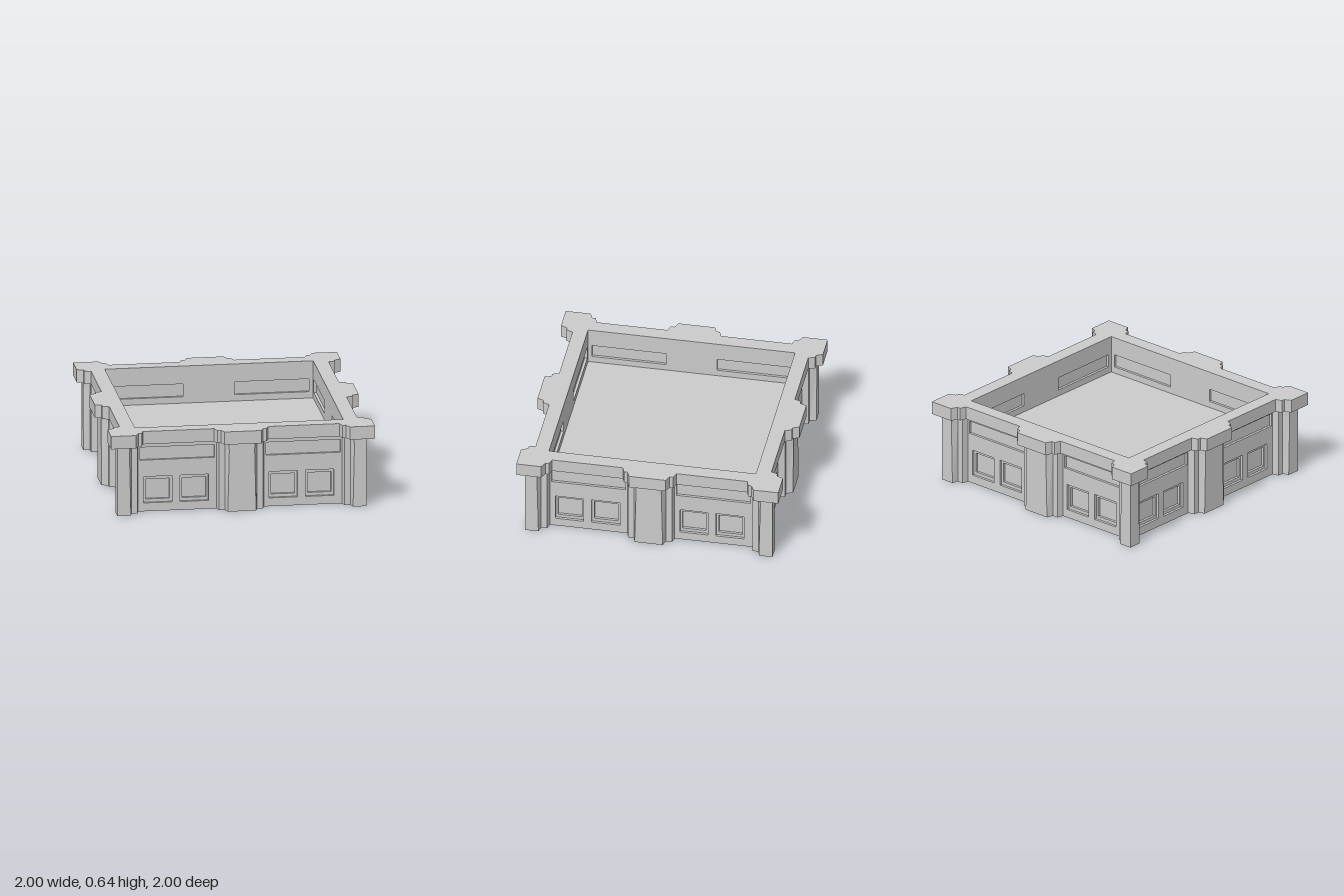
import * as THREE from 'three';

const material = new THREE.MeshStandardMaterial({
  color: 0xcccccc, flatShading: true, side: THREE.DoubleSide,
});

function addMesh(parent, name, geometry) {
  const mesh = new THREE.Mesh(geometry, material);
  mesh.name = name;
  parent.add(mesh);
  return mesh;
}

// Rectangles are [x0, y0, x1, y1]
const corners = ([x0, y0, x1, y1]) =>
  [[x0, y0], [x1, y0], [x1, y1], [x0, y1]].map(([x, y]) => new THREE.Vector2(x, y));

// Flat plate facing +z between two depths, with rectangular openings
function plate(rect, back, front, holes = []) {
  const shape = new THREE.Shape(corners(rect));
  for (const h of holes) shape.holes.push(new THREE.Path(corners(h)));
  return new THREE.ExtrudeGeometry(shape, { depth: front - back, bevelEnabled: false })
    .translate(0, 0, back);
}

const inset = ([x0, y0, x1, y1], dx, dy) => [x0 + dx, y0 + dy, x1 - dx, y1 - dy];

// Open vertical shell through horizontal paths of [x, z] at several heights
function shell(rows) {
  const positions = [], index = [], n = rows[0].path.length;
  rows.forEach(({ y, path }, j) => path.forEach(([x, z], i) => {
    positions.push(x, y, z);
    if (j && i) {
      const b = j * n + i, a = b - n;
      index.push(a - 1, a, b, a - 1, b, b - 1);
    }
  }));
  const g = new THREE.BufferGeometry();
  g.setAttribute('position', new THREE.Float32BufferAttribute(positions, 3));
  g.setIndex(index);
  g.computeVertexNormals();
  return g;
}

// Stepped pilasters whose front face narrows slightly below the cornice
const taper = [[0, 0], [0.48, 0.011], [0.54, 0.006]];

function middlePilaster() {
  return shell(taper.map(([y, t]) => {
    const half = [[0.18, 0.845], [0.168, 0.895], [0.122, 0.895], [0.107 - t, 0.945]];
    return { y, path: [...half.map(([x, z]) => [-x, z]), ...half.reverse()] };
  }));
}

function cornerPilaster() {
  return shell(taper.map(([y, t]) => {
    const half = [[0.773, 0.845], [0.785, 0.895], [0.83, 0.895], [0.842 + t, 0.945]];
    const turned = half.map(([x, z]) => [z, x]).reverse();
    return { y, path: [...half, [0.945, 0.945], ...turned] };
  }));
}

// Projecting ring slab that follows the pilasters
function cornice() {
  const half = [[0.81, 1], [0.787, 0.95], [0.76, 0.95], [0.745, 0.9],
    [0.205, 0.9], [0.187, 0.95], [0.16, 0.95], [0.14, 1]];
  const side = [[1, 1], ...half, ...half.map(([x, y]) => [-x, y]).reverse()];
  const outline = [];
  for (let k = 0; k < 4; k++) {
    for (const [x, y] of side) {
      outline.push(new THREE.Vector2(x, y).rotateAround(new THREE.Vector2(), k * Math.PI / 2));
    }
  }
  const shape = new THREE.Shape(outline);
  shape.holes.push(new THREE.Path(corners([-0.79, -0.79, 0.79, 0.79])));
  return new THREE.ExtrudeGeometry(shape, { depth: 0.1, bevelEnabled: false })
    .rotateX(-Math.PI / 2).translate(0, 0.54, 0);
}

function createSide() {
  const side = new THREE.Group();
  side.name = 'side';
  const slots = [[-0.76, 0.4, -0.195, 0.5], [0.195, 0.4, 0.76, 0.5]];
  const bays = [[-0.778, 0, -0.175, 0.54], [0.175, 0, 0.778, 0.54]];
  const windowCentres = [[-0.623, -0.347], [0.327, 0.603]];

  bays.forEach((bay, i) => {
    const windows = windowCentres[i].map((x) => [x - 0.108, 0.065, x + 0.108, 0.27]);
    addMesh(side, 'wall', plate(bay, 0.825, 0.845, [slots[i], ...windows]));
    addMesh(side, 'outerSlotPanel', plate(slots[i], 0.82, 0.825));

    // Stepped window recess
    for (const w of windows) {
      const pane = inset(w, 0.018, 0.025);
      addMesh(side, 'windowFrame', plate(w, 0.805, 0.825, [pane]));
      addMesh(side, 'windowPanel', plate(pane, 0.8, 0.805));
    }
    addMesh(side, 'innerSlotPanel', plate(slots[i], 0.81, 0.815));
  });

  // Wall of the sunken basin, with matching slots
  addMesh(side, 'innerWall', plate([-0.79, 0.35, 0.79, 0.54], 0.79, 0.81, slots));
  addMesh(side, 'middlePilaster', middlePilaster());
  addMesh(side, 'cornerPilaster', cornerPilaster());
  return side;
}

export function createModel() {
  const model = new THREE.Group();
  model.name = 'squareParapetBlock';
  for (let k = 0; k < 4; k++) {
    const side = createSide();
    side.rotation.y = k * Math.PI / 2;
    model.add(side);
  }
  addMesh(model, 'cornice', cornice());

  // Raised floor, open underneath
  addMesh(model, 'floor', new THREE.PlaneGeometry(1.58, 1.58).rotateX(-Math.PI / 2))
    .position.y = 0.35;
  return model;
}
